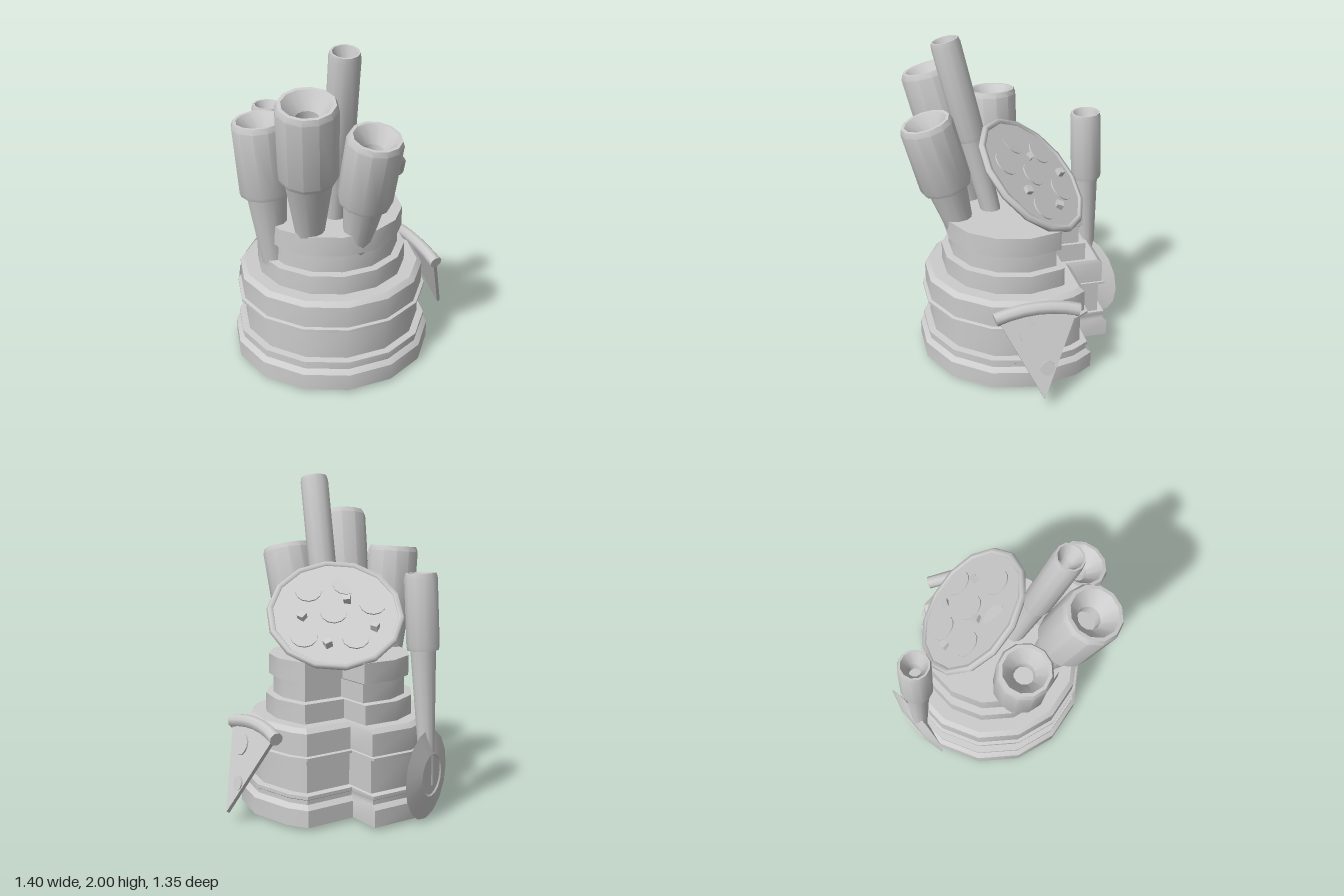
import * as THREE from 'three';
import { toCreasedNormals } from 'three/addons/utils/BufferGeometryUtils.js';

const V = (x, y, z) => new THREE.Vector3(x, y, z);
const UP = V(0, 1, 0);
const grey = new THREE.MeshStandardMaterial({ color: 0xcccccc, side: THREE.DoubleSide });

function add(parent, name, geometry, crease = 0.6) {
  const mesh = new THREE.Mesh(toCreasedNormals(geometry, crease), grey);
  mesh.name = name;
  parent.add(mesh);
  return mesh;
}

// Fourteen-sided outline of a tier, with a notch cut from its back corner
const CX = -0.095, STEP = Math.PI / 7;
function outline(r) {
  const nx = r * 0.27, nz = -(r - 0.23);
  const pts = [[Math.sqrt(r * r - nz * nz), nz]];
  for (let k = -1; k <= 10; k++) pts.push([r * Math.cos(k * STEP), r * Math.sin(k * STEP)]);
  pts.push([nx, -Math.sqrt(r * r - nx * nx)], [nx, nz]);
  return pts;
}

// Hollow stacked body: the outline lofted through [radius, height] levels
function bodyGeometry(levels) {
  const pos = [];
  for (let j = 0; j < levels.length - 1; j++) {
    const lo = outline(levels[j][0]), hi = outline(levels[j + 1][0]);
    const y0 = levels[j][1], y1 = levels[j + 1][1];
    for (let i = 0; i < lo.length; i++) {
      const k = (i + 1) % lo.length;
      const a = [lo[i][0], y0, lo[i][1]], b = [lo[k][0], y0, lo[k][1]];
      const c = [hi[i][0], y1, hi[i][1]], d = [hi[k][0], y1, hi[k][1]];
      pos.push(...a, ...c, ...b, ...b, ...c, ...d);
    }
  }
  const g = new THREE.BufferGeometry();
  g.setAttribute('position', new THREE.Float32BufferAttribute(pos, 3));
  g.computeVertexNormals();
  return g;
}

const lathe = (pts, sides) =>
  new THREE.LatheGeometry(pts.map(p => new THREE.Vector2(p[0], p[1])), sides);

// Tapered pipe with a wider barrel and a funnel-shaped mouth
function pipe(root, name, bottom, top, rEnd, rNeck, rBarrel, barrelLength) {
  const axis = top.clone().sub(bottom), h = axis.length(), b = h - barrelLength;
  const mesh = add(root, name, lathe([
    [0, 0], [rEnd, 0], [rNeck, b], [rBarrel * 0.95, b], [rBarrel, b + 0.025],
    [rBarrel, h - 0.03], [rBarrel * 0.92, h], [rBarrel * 0.8, h],
    [rBarrel * 0.38, h - 0.09], [rBarrel * 0.36, h - 0.16], [0, h - 0.16],
  ], 12));
  mesh.position.copy(bottom);
  mesh.quaternion.setFromUnitVectors(UP, axis.normalize());
}

// Tilted round plate with a raised rim and toppings
function plate(root) {
  const g = new THREE.Group();
  g.name = 'plate';
  const n = V(0.38, 0.72, -0.58).normalize();
  g.position.set(0, 1.18, -0.095);
  g.quaternion.setFromUnitVectors(UP, n);
  root.add(g);
  add(g, 'plateBase', new THREE.CylinderGeometry(0.39, 0.39, 0.02, 14));
  add(g, 'plateRim', new THREE.TorusGeometry(0.388, 0.023, 6, 14).rotateX(Math.PI / 2), 1.2)
    .rotation.y = Math.PI / 2;
  const inverse = g.quaternion.clone().invert();
  // Finds the spot on the plate lying under the given x and z
  const local = (x, z) => {
    const dz = z - g.position.z;
    return V(x, -(n.x * x + n.z * dz) / n.y, dz).applyQuaternion(inverse);
  };
  [[-0.02, -0.27], [-0.21, -0.18], [0.225, -0.1], [0.01, -0.09], [0.07, 0.09], [-0.14, 0.0]]
    .forEach(([x, z], i) => {
      const m = add(g, 'roundTopping', new THREE.CylinderGeometry(0.08, 0.08, 0.01, 12));
      m.position.copy(local(x, z));
      m.position.y += i === 5 ? 0.005 : 0.013;
      if (i === 5) m.rotation.z = 0.08;
    });
  [[-0.145, -0.29], [0.135, -0.21], [-0.095, -0.08], [0.18, -0.01]].forEach(([x, z], i) => {
    const m = add(g, 'cubeTopping', new THREE.BoxGeometry(0.042, 0.04, 0.042));
    m.position.copy(local(x, z));
    m.position.y += 0.022;
    m.rotation.set(0.2, 0.5 + i, 0.1);
  });
}

// Triangular slice leaning on the side, with a bent crust along its top
function slice(root) {
  const g = new THREE.Group();
  g.name = 'slice';
  g.position.set(0.5, 0.55, 0);
  g.rotation.set(0, Math.PI / 2, 0.371, 'ZYX');
  root.add(g);
  const s = new THREE.Shape();
  s.moveTo(-0.24, -0.015);
  s.lineTo(0, -0.52);
  s.lineTo(0.24, -0.015);
  s.lineTo(0, 0.02);
  add(g, 'sliceBase', new THREE.ExtrudeGeometry(s, { depth: 0.022, bevelEnabled: false })
    .translate(0, 0, -0.011));
  const arc = new THREE.QuadraticBezierCurve3(V(-0.25, -0.025, 0), V(0, 0.05, 0), V(0.25, -0.025, 0));
  add(g, 'crust', new THREE.TubeGeometry(arc, 6, 0.04, 8), 1);
  for (const side of [-1, 1]) {
    const cap = add(g, 'crustEnd', new THREE.CircleGeometry(0.04, 8));
    cap.position.set(side * 0.25, -0.025, 0);
    cap.rotation.set(0, side * Math.PI / 2, -side * 0.29, 'ZYX');
  }
  [[-0.055, -0.13, 0.062, 0], [0.03, -0.34, 0.043, 0.12]].forEach(([x, y, r, tilt]) => {
    const m = add(g, 'sliceTopping', new THREE.CylinderGeometry(r, r, 0.012, 12).rotateX(Math.PI / 2));
    m.position.set(x, y, 0.014);
    m.rotation.x = tilt;
  });
}

export function createModel() {
  const root = new THREE.Group();
  root.name = 'model';

  // Body tiers, open underneath
  const levels = [
    [0.605, 0.02], [0.605, 0.12], [0.575, 0.145], [0.575, 0.17], [0.582, 0.175], [0.582, 0.195],
    [0.54, 0.2], [0.54, 0.395], [0.58, 0.4], [0.58, 0.415], [0.56, 0.42], [0.56, 0.55],
    [0.53, 0.575], [0.45, 0.575], [0.45, 0.69], [0.405, 0.695], [0.405, 0.805], [0.43, 0.81], [0.43, 0.93],
  ];
  add(root, 'body', bodyGeometry(levels), 0.5).position.x = CX;
  const top = new THREE.Shape(outline(0.43).map(p => new THREE.Vector2(p[0], -p[1])));
  add(root, 'bodyTop', new THREE.ShapeGeometry(top).rotateX(-Math.PI / 2)).position.set(CX, 0.93, 0);

  // Upright pipes
  pipe(root, 'tallWidePipe', V(-0.32, 0.85, 0.23), V(-0.41, 1.76, 0.45), 0.075, 0.14, 0.17, 0.47);
  pipe(root, 'frontPipe', V(-0.075, 0.68, 0.29), V(-0.05, 1.55, 0.525), 0.06, 0.12, 0.157, 0.43);
  pipe(root, 'thinPipe', V(-0.12, 0.85, 0.12), V(-0.165, 1.985, 0.38), 0.058, 0.074, 0.087, 0.61);
  pipe(root, 'sidePipe', V(-0.47, 0.66, 0.03), V(-0.54, 1.555, 0.04), 0.075, 0.12, 0.157, 0.44);
  pipe(root, 'backPipe', V(-0.33, 0.2, -0.565), V(-0.3, 1.435, -0.51), 0.04, 0.075, 0.097, 0.44);

  // Lens-shaped disc at the foot of the back pipe
  const disc = add(root, 'backDisc', lathe([
    [0, -0.03], [0.12, -0.03], [0.265, 0], [0.125, 0.035], [0.115, 0.028], [0, 0.028],
  ], 16), 0.45);
  disc.position.set(-0.31, 0.265, -0.58);
  disc.quaternion.setFromUnitVectors(UP, V(-0.4, 0, -0.92).normalize());

  plate(root);
  slice(root);
  return root;
}
